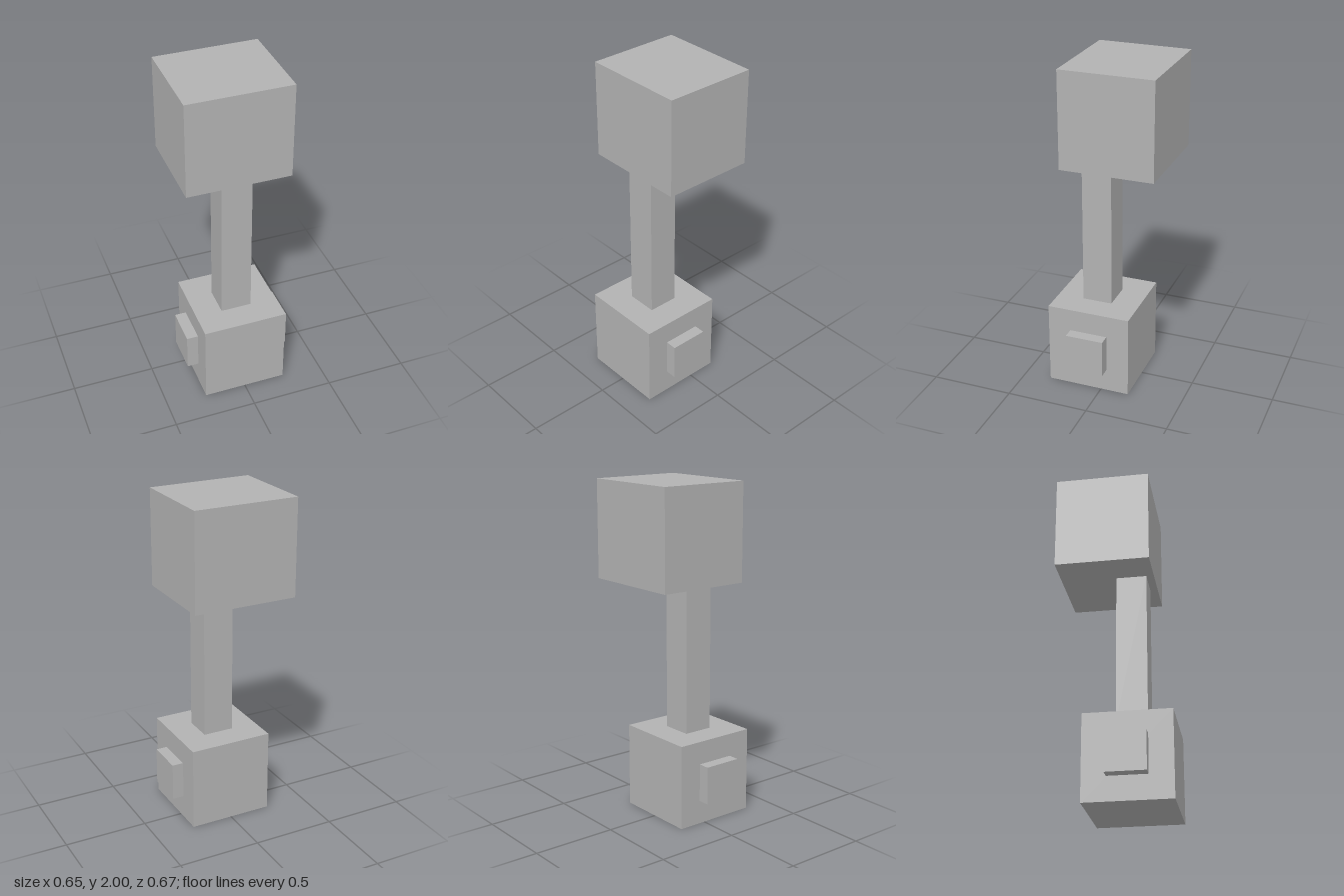
import * as THREE from 'three';

export function createModel() {
  const model = new THREE.Group();
  model.name = 'pedestalFigure';

  const grey = new THREE.MeshStandardMaterial({ color: 0xb2b2b2 });
  grey.name = 'grey';

  // Box given by its lower and upper corners
  function addBox(name, min, max) {
    const size = max.map((v, i) => v - min[i]);
    const mesh = new THREE.Mesh(new THREE.BoxGeometry(...size), grey);
    mesh.position.set(...max.map((v, i) => (v + min[i]) / 2));
    mesh.name = name;
    model.add(mesh);
  }

  // Cube base, slim post set off centre, and large block on top
  addBox('base', [-0.254, 0, -0.172], [0.254, 0.508, 0.335]);
  addBox('post', [-0.093, 0.508, -0.006], [0.093, 1.425, 0.175]);
  addBox('head', [-0.312, 1.425, -0.335], [0.312, 2, 0.22]);

  // Square pads on both sides of the base
  addBox('leftPad', [0.254, 0.142, -0.035], [0.323, 0.37, 0.196]);
  addBox('rightPad', [-0.323, 0.142, -0.035], [-0.254, 0.37, 0.196]);

  return model;
}
